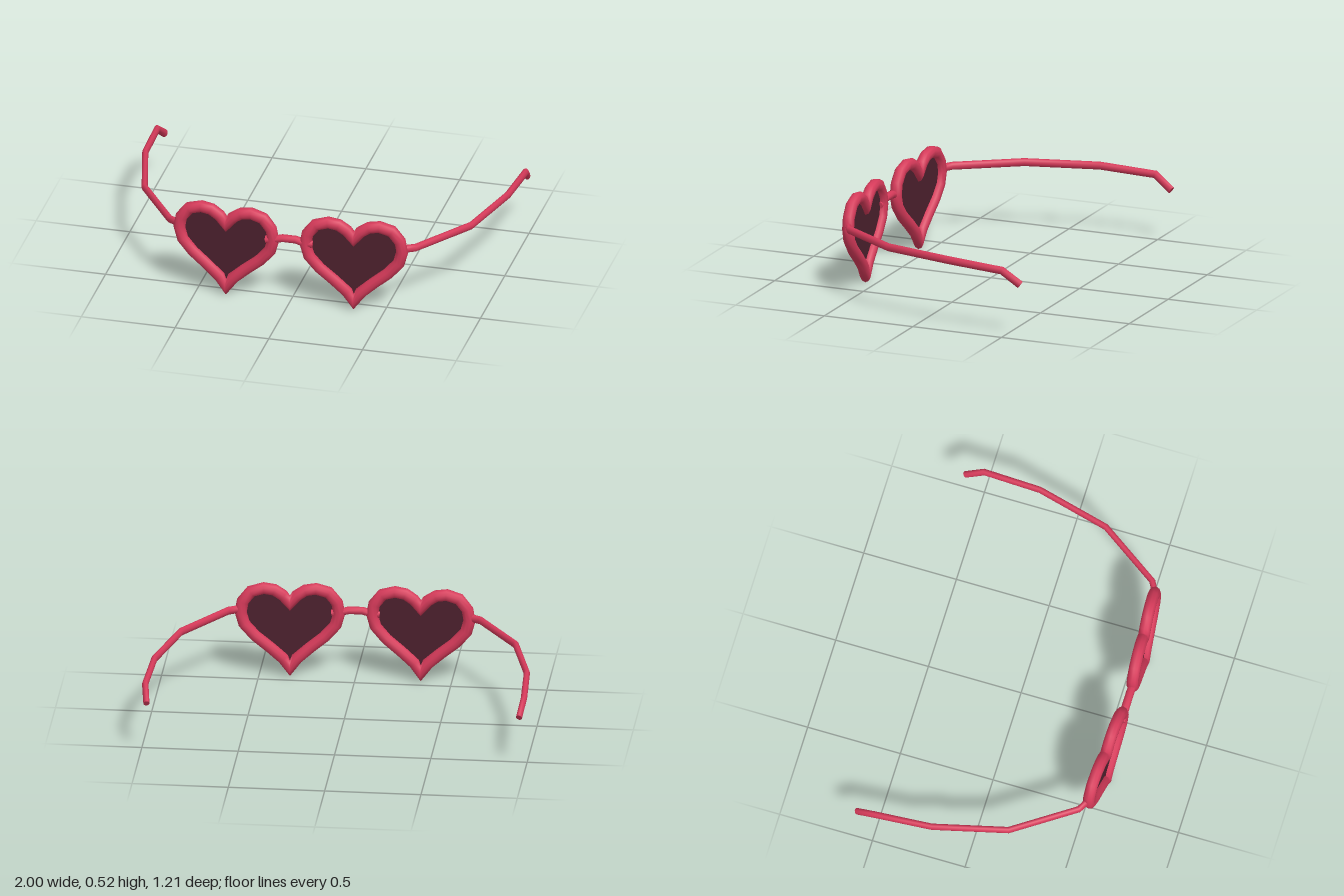
import * as THREE from 'three';

const SIDES = 10;
const V = (x, y, z) => new THREE.Vector3(x, y, z);

// Sweeps an ellipse along a polyline with mitred corners; "up" steers its second axis.
function sweep(points, r1, r2, up, closed = false) {
  const pos = [], idx = [], n = points.length;
  const rings = [];
  points.forEach((p, i) => {
    const prev = closed ? points[(i + n - 1) % n] : points[Math.max(i - 1, 0)];
    const next = closed ? points[(i + 1) % n] : points[Math.min(i + 1, n - 1)];
    const d1 = p.clone().sub(prev).normalize();
    const d2 = next.clone().sub(p).normalize();
    const t = d1.clone().add(d2).normalize();
    const side = up.clone().cross(t).normalize();
    const b = t.clone().cross(side).normalize();
    // widen the section at corners that turn about "up"
    const cos = d1.lengthSq() && d2.lengthSq() ? Math.max(t.dot(d2), 0.72) : 1;
    const ring = [];
    for (let j = 0; j < SIDES; j++) {
      const a = (j / SIDES) * Math.PI * 2;
      ring.push(p.clone().addScaledVector(side, Math.cos(a) * r1 / cos).addScaledVector(b, Math.sin(a) * r2));
    }
    rings.push(ring);
    ring.forEach(v => pos.push(v.x, v.y, v.z));
  });
  for (let i = 0; i < (closed ? n : n - 1); i++) {
    for (let j = 0; j < SIDES; j++) {
      const k = (j + 1) % SIDES, m = (i + 1) % n;
      const A = i * SIDES + j, B = i * SIDES + k, C = m * SIDES + j, D = m * SIDES + k;
      idx.push(A, B, C, B, D, C);
    }
  }
  // flat end caps
  if (!closed) {
    [0, n - 1].forEach(e => {
      const base = pos.length / 3;
      [points[e], ...rings[e]].forEach(v => pos.push(v.x, v.y, v.z));
      for (let j = 0; j < SIDES; j++) {
        const a = base + 1 + j, b = base + 1 + (j + 1) % SIDES;
        if (e === 0) idx.push(base, b, a);
        else idx.push(base, a, b);
      }
    });
  }
  const g = new THREE.BufferGeometry();
  g.setAttribute('position', new THREE.Float32BufferAttribute(pos, 3));
  g.setIndex(idx);
  g.computeVertexNormals();
  return g;
}

// Right half of the heart, from the cleft round to the tip
const HALF = [
  [0, 0.412], [0.035, 0.455], [0.08, 0.485], [0.135, 0.494], [0.2, 0.475],
  [0.243, 0.42], [0.254, 0.36], [0.236, 0.295], [0.18, 0.23], [0.105, 0.168],
  [0.035, 0.105], [0, 0.05],
];
const HEART = [...HALF, ...HALF.slice(1, -1).reverse().map(([x, y]) => [-x, y])];
const frontZ = x => 0.58 - 0.06 * Math.abs(x); // slight wrap of the front

export function createModel() {
  const group = new THREE.Group();
  const frameMat = new THREE.MeshStandardMaterial({ color: 0xd63a5a });
  frameMat.name = 'rose red frame';
  const lensMat = new THREE.MeshStandardMaterial({ color: 0x4c202d, side: THREE.DoubleSide });
  lensMat.name = 'dark tinted lens';

  const add = (name, geometry, material) => {
    const mesh = new THREE.Mesh(geometry, material);
    mesh.name = name;
    group.add(mesh);
  };

  for (const s of [1, -1]) {
    const label = s > 0 ? 'left' : 'right';
    const cx = 0.34 * s;

    // heart rim
    const path = HEART.map(([x, y]) => V(cx + x, y, frontZ(cx + x)));
    add(label + 'Rim', sweep(path, 0.031, 0.031, V(0, 0, 1), true), frameMat);

    // heart lens
    const shape = new THREE.Shape(HEART.map(([x, y]) => new THREE.Vector2(cx + x, y)));
    const lens = new THREE.ShapeGeometry(shape);
    const p = lens.attributes.position;
    for (let i = 0; i < p.count; i++) p.setZ(i, frontZ(p.getX(i)));
    lens.computeVertexNormals();
    add(label + 'Lens', lens, lensMat);

    // temple arm with bent ear tip
    const arm = [
      [0.6, 0.377, 0.54], [0.655, 0.377, 0.51], [0.87, 0.377, 0.195],
      [0.967, 0.377, -0.19], [0.983, 0.361, -0.495], [0.967, 0.291, -0.592],
    ].map(([x, y, z]) => V(x * s, y, z));
    add(label + 'Temple', sweep(arm, 0.016, 0.021, V(0, 1, 0)), frameMat);
  }

  // nose bridge
  const bridge = [
    [-0.125, 0.362], [-0.07, 0.368], [-0.035, 0.378], [0.035, 0.378], [0.07, 0.368], [0.125, 0.362],
  ].map(([x, y]) => V(x, y, 0.578));
  add('bridge', sweep(bridge, 0.02, 0.022, V(0, 0, 1)), frameMat);

  return group;
}
